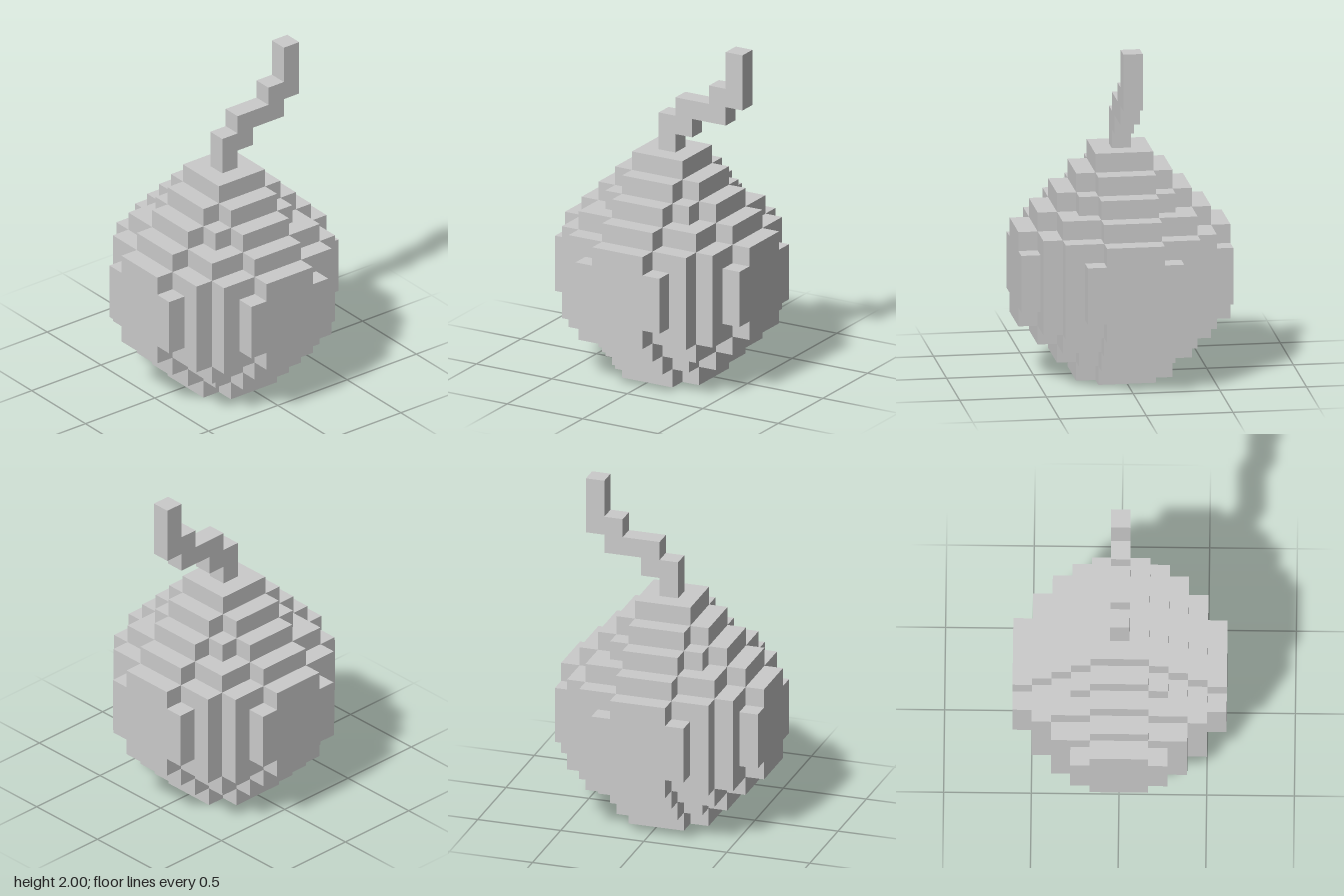
import * as THREE from 'three';

const U = 2 / 18; // size of one block

const material = new THREE.MeshStandardMaterial({ color: 0xcccccc, flatShading: true });

// Closed shape from [x, y] corners given in blocks
function blockShape(points) {
  return new THREE.Shape(points.map(([x, y]) => new THREE.Vector2(x * U, y * U)));
}

// Stepped outline: one quadrant of half sizes (x rising, z falling), mirrored to all four
function steppedOutline(steps) {
  const quadrant = [];
  steps.forEach(([x, z], i) => {
    if (i > 0) quadrant.push([steps[i - 1][0], z]);
    quadrant.push([x, z]);
  });
  const mirror = (sx, sz) => quadrant.map(([x, z]) => [x * sx, z * sz]);
  return blockShape([
    ...mirror(1, 1),
    ...mirror(1, -1).reverse(),
    ...mirror(-1, -1),
    ...mirror(-1, 1).reverse(),
  ]);
}

// Body layers from the ground up: height in blocks and stepped half sizes
const BASE = [[1.5, 2.5], [2.5, 1.5]];
const LOWER = [[1.5, 3.5], [2.5, 2.5], [3.5, 1.5]];
const SHOULDER = [[1.5, 4.5], [3.5, 3.5], [4.5, 1.5]];
const RIM = [[1.5, 5.5], [3.5, 4.5], [4.5, 3.5], [5.5, 1.5]];
const BELLY = [[2.5, 5.5], [3.5, 4.5], [4.5, 3.5], [5.5, 2.5]];
const LAYERS = [
  [1, BASE], [1, LOWER], [1, SHOULDER], [1, RIM],
  [3, BELLY],
  [1, RIM], [1, SHOULDER], [1, LOWER], [1, BASE],
];

// Side profile of the crooked fuse as [z, y] in blocks
const FUSE = [
  [0.5, 12], [0.5, 14], [-0.5, 14], [-0.5, 15], [-2.5, 15], [-2.5, 16], [-3.5, 16], [-3.5, 18],
  [-4.5, 18], [-4.5, 15], [-3.5, 15], [-3.5, 14], [-1.5, 14], [-1.5, 13], [-0.5, 13], [-0.5, 12],
];

export function createModel() {
  const model = new THREE.Group();
  model.name = 'roundBlockBomb';

  // Round body of stacked stepped slabs
  const body = new THREE.Group();
  body.name = 'body';
  let level = 0;
  LAYERS.forEach(([height, steps], i) => {
    const geometry = new THREE.ExtrudeGeometry(steppedOutline(steps), {
      depth: height * U, bevelEnabled: false,
    });
    geometry.rotateX(-Math.PI / 2);
    const slab = new THREE.Mesh(geometry, material);
    slab.name = `bodyLayer${i + 1}`;
    slab.position.y = level * U;
    level += height;
    body.add(slab);
  });
  model.add(body);

  // Square cap under the fuse
  const cap = new THREE.Mesh(new THREE.BoxGeometry(3 * U, U, 3 * U), material);
  cap.name = 'cap';
  cap.position.y = (level + 0.5) * U;
  model.add(cap);

  // Fuse bending towards the back
  const fuseGeometry = new THREE.ExtrudeGeometry(
    blockShape(FUSE.map(([z, y]) => [-z, y])), { depth: U, bevelEnabled: false });
  fuseGeometry.translate(0, 0, -U / 2);
  fuseGeometry.rotateY(Math.PI / 2);
  const fuse = new THREE.Mesh(fuseGeometry, material);
  fuse.name = 'fuse';
  model.add(fuse);

  return model;
}
